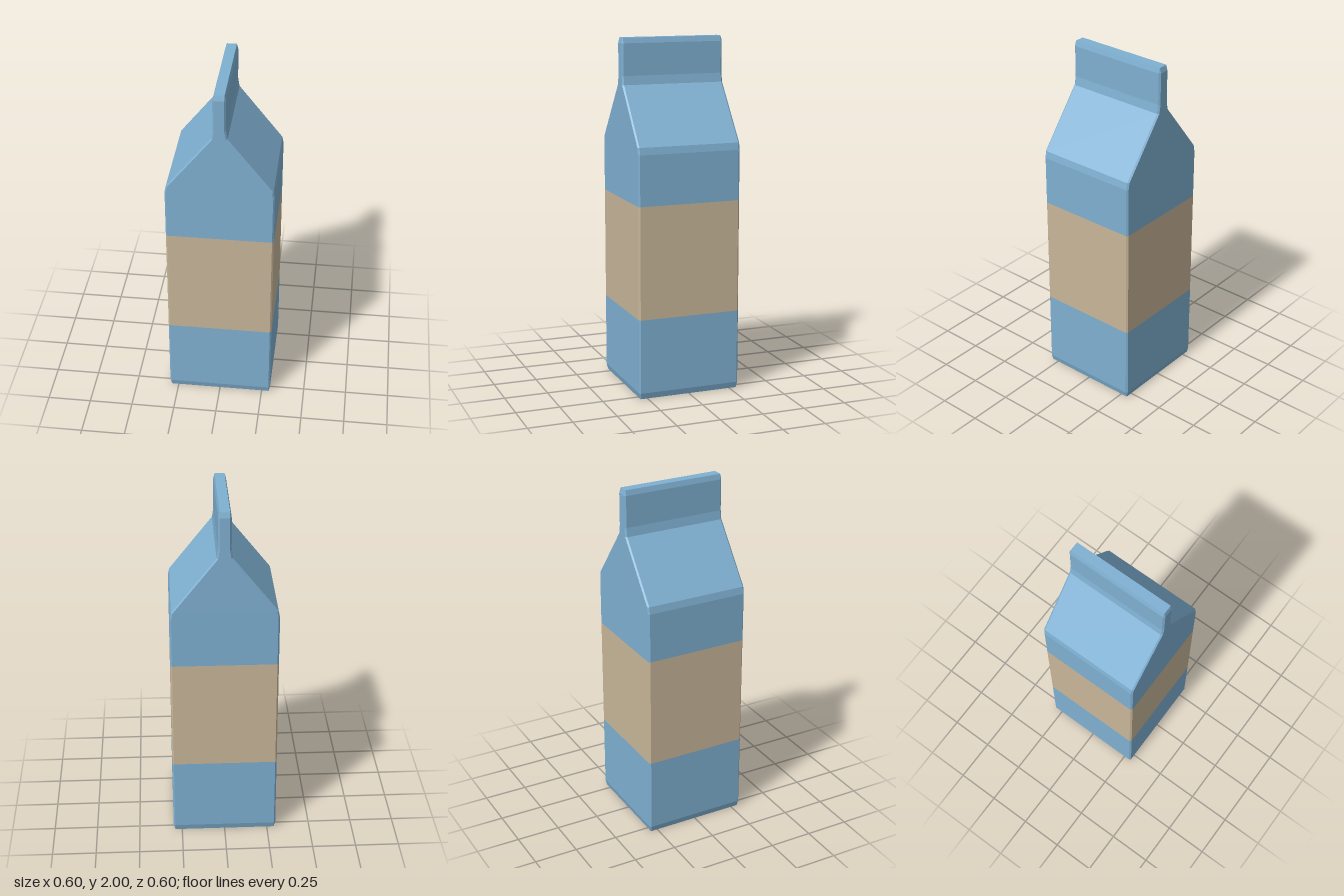
import * as THREE from 'three';

// Chamfered rectangle seen from above, counter-clockwise from the front left corner
function ring([y, hx, hz, c]) {
  return [
    [-hx + c, hz], [hx - c, hz], [hx, hz - c], [hx, -hz + c],
    [hx - c, -hz], [-hx + c, -hz], [-hx, -hz + c], [-hx, hz - c],
  ].map(([x, z]) => [x, y, z]);
}

// Skin a stack of sections [y, halfWidth, halfDepth, chamfer], with optional end caps
function loft(name, color, sections, capBottom, capTop) {
  const rings = sections.map(ring);
  const pos = [];
  const tri = (a, b, c) => pos.push(...a, ...b, ...c);
  for (let r = 0; r < rings.length - 1; r++) {
    for (let i = 0; i < 8; i++) {
      const j = (i + 1) % 8;
      const lo = rings[r], hi = rings[r + 1];
      tri(lo[i], lo[j], hi[j]);
      tri(lo[i], hi[j], hi[i]);
    }
  }
  const first = rings[0], last = rings[rings.length - 1];
  for (let i = 1; i < 7; i++) {
    if (capBottom) tri(first[0], first[i + 1], first[i]);
    if (capTop) tri(last[0], last[i], last[i + 1]);
  }
  const geometry = new THREE.BufferGeometry();
  geometry.setAttribute('position', new THREE.Float32BufferAttribute(pos, 3));
  geometry.computeVertexNormals();
  const mesh = new THREE.Mesh(geometry, new THREE.MeshStandardMaterial({ color, flatShading: true }));
  mesh.name = name;
  return mesh;
}

export function createModel() {
  const blue = 0x7fb0d2, tan = 0xc8b699;
  const bandLow = [0.46, 0.3, 0.3, 0.009];
  const bandHigh = [1.1, 0.3, 0.3, 0.009];

  const carton = new THREE.Group();
  carton.name = 'carton';
  carton.add(
    // Base with a bevelled foot
    loft('cartonBase', blue, [[0, 0.291, 0.291, 0.001], [0.035, 0.3, 0.3, 0.009], bandLow], true, false),
    // Coloured band around the middle
    loft('labelBand', tan, [bandLow, bandHigh], false, false),
    // Shoulders, sloping roof and the sealed fin on top
    loft('gableTop', blue, [
      bandHigh,
      [1.385, 0.3, 0.3, 0.009],
      [1.425, 0.292, 0.3, 0.009],
      [1.74, 0.044, 0.3, 0.009],
      [1.79, 0.036, 0.3, 0.009],
      [1.97, 0.036, 0.3, 0.009],
      [2, 0.028, 0.292, 0.001],
    ], false, true),
  );
  return carton;
}
